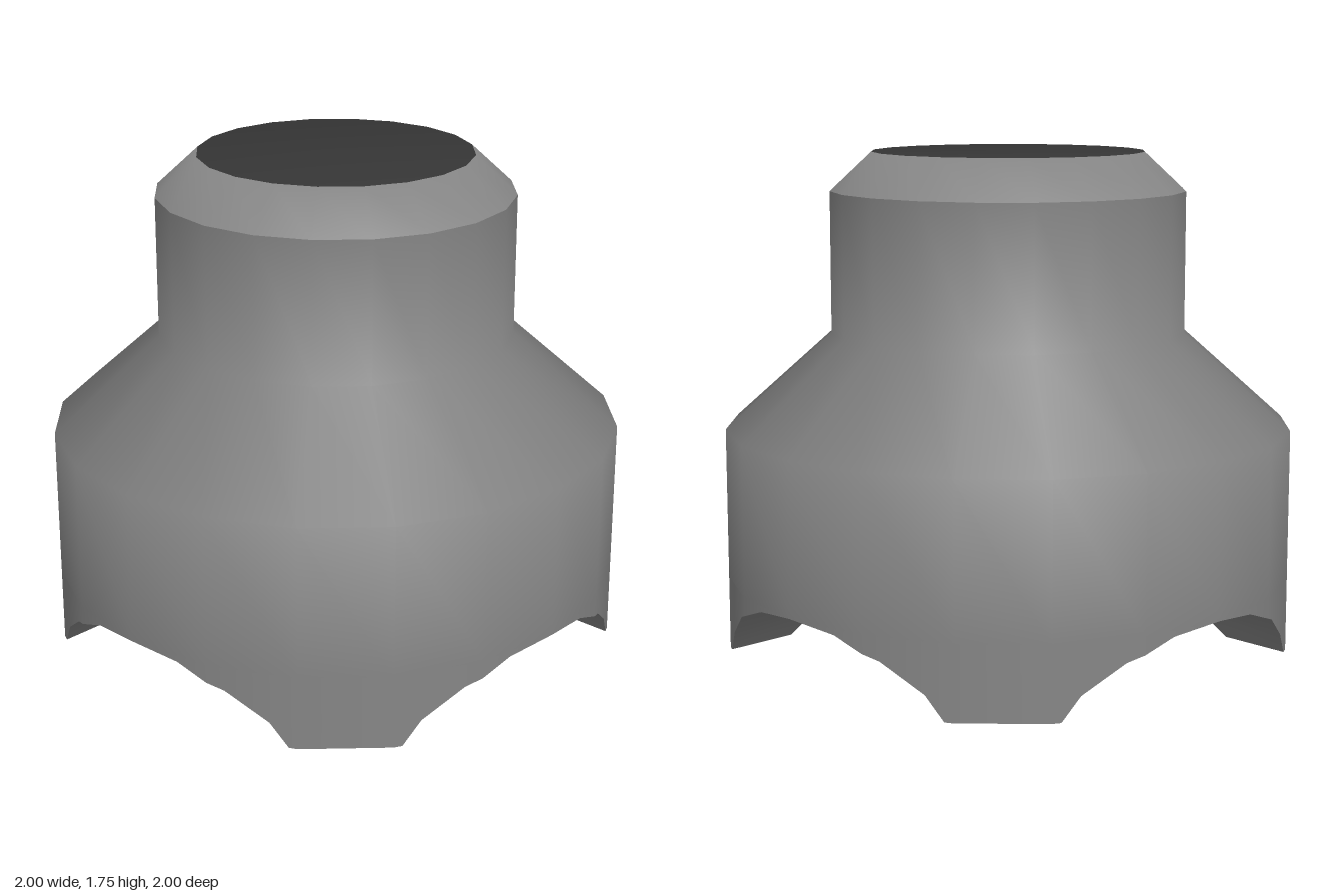
import * as THREE from 'three';
import { toCreasedNormals } from 'three/addons/utils/BufferGeometryUtils.js';

const SIDES = 20;
const STEP = (Math.PI * 2) / SIDES;
const CROWN = 0.26; // height of the channel arches
const bodyMaterial = new THREE.MeshStandardMaterial({ color: 0x868686 });
const capMaterial = new THREE.MeshStandardMaterial({ color: 0x353535 });

// Half of the arch outline of a channel: a low faceted ellipse cut off at the ground
const arch = [0, 1, 2, 3].map(k => [0.62 * Math.sin(k * STEP), -0.17 + 0.43 * Math.cos(k * STEP)]);
arch.push([0.56, 0]);

// Outer edge of the 20-sided body, as z for a given x
const rim = [0, 1, 2, 3].map(k => [Math.sin(k * STEP), Math.cos(k * STEP)]);

function sample(line, x) {
  for (let i = 1; i < line.length; i++) {
    const [x0, y0] = line[i - 1], [x1, y1] = line[i];
    if (x <= x1) return y0 + (y1 - y0) * (x - x0) / (x1 - x0);
  }
  return 0;
}

// Repeat the quads of one eighth around the axis by swapping and mirroring x and z
function eightfold(quads) {
  const positions = [];
  for (const swap of [false, true]) for (const sx of [1, -1]) for (const sz of [1, -1]) {
    const flip = (sx * sz < 0) !== swap;
    for (const [a, b, c, d] of quads) {
      const corners = flip ? [a, c, b, a, d, c] : [a, b, c, a, c, d];
      for (const [x, y, z] of corners) positions.push(sx * (swap ? z : x), y, sz * (swap ? x : z));
    }
  }
  const geometry = new THREE.BufferGeometry();
  geometry.setAttribute('position', new THREE.Float32BufferAttribute(positions, 3));
  return geometry;
}

function lathe(points) {
  return new THREE.LatheGeometry(points.map(([r, y]) => new THREE.Vector2(r, y)), SIDES);
}

export function createModel() {
  const group = new THREE.Group();
  const add = (name, geometry, material = bodyMaterial) => {
    const mesh = new THREE.Mesh(geometry, material);
    mesh.name = name;
    group.add(mesh);
  };

  // Body, shoulder and neck share smooth normals
  add('body', lathe([[1, CROWN], [1, 0.79], [0.625, 1.125], [0.625, 1.62]]));

  // Bevel and dark cap are shaded smoothly together; each side holds one quad of either
  const top = lathe([[0.625, 1.62], [0.48, 1.755], [0, 1.755]]);
  for (let i = 0; i < SIDES; i++) {
    top.addGroup(i * 12, 6, 0);
    top.addGroup(i * 12 + 6, 6, 1);
  }
  add('bevelledCap', top, [bodyMaterial, capMaterial]);

  // Strips of one eighth, from the diagonal groin out to the rim
  const diagonal = (rim[2][0] + rim[3][0] + rim[2][1] + rim[3][1]) / 4;
  const xs = [...arch.map(p => p[0]), rim[1][0], rim[2][0], diagonal].sort((a, b) => a - b);
  const under = [], skirt = [];
  for (let i = 1; i < xs.length; i++) {
    const [p, q] = [xs[i - 1], xs[i]];
    const [hp, hq] = [sample(arch, p), sample(arch, q)];
    const [zp, zq] = [sample(rim, p), sample(rim, q)];
    under.push([[p, hp, p], [q, hq, q], [q, hq, zq], [p, hp, zp]]);
    skirt.push([[p, hp, zp], [q, hq, zq], [q, CROWN, zq], [p, CROWN, zp]]);
  }

  // Crossed arched channels with four flat feet in the corners
  add('crossChannels', toCreasedNormals(eightfold(under), 0.5));

  // Lower wall, cut by the arches, with normals that continue the body
  const wall = eightfold(skirt);
  const pos = wall.attributes.position;
  const normals = [];
  for (let i = 0; i < pos.count; i++) {
    const r = Math.hypot(pos.getX(i), pos.getZ(i));
    normals.push(pos.getX(i) / r, 0, pos.getZ(i) / r);
  }
  wall.setAttribute('normal', new THREE.Float32BufferAttribute(normals, 3));
  add('archedSkirt', wall);

  return group;
}
